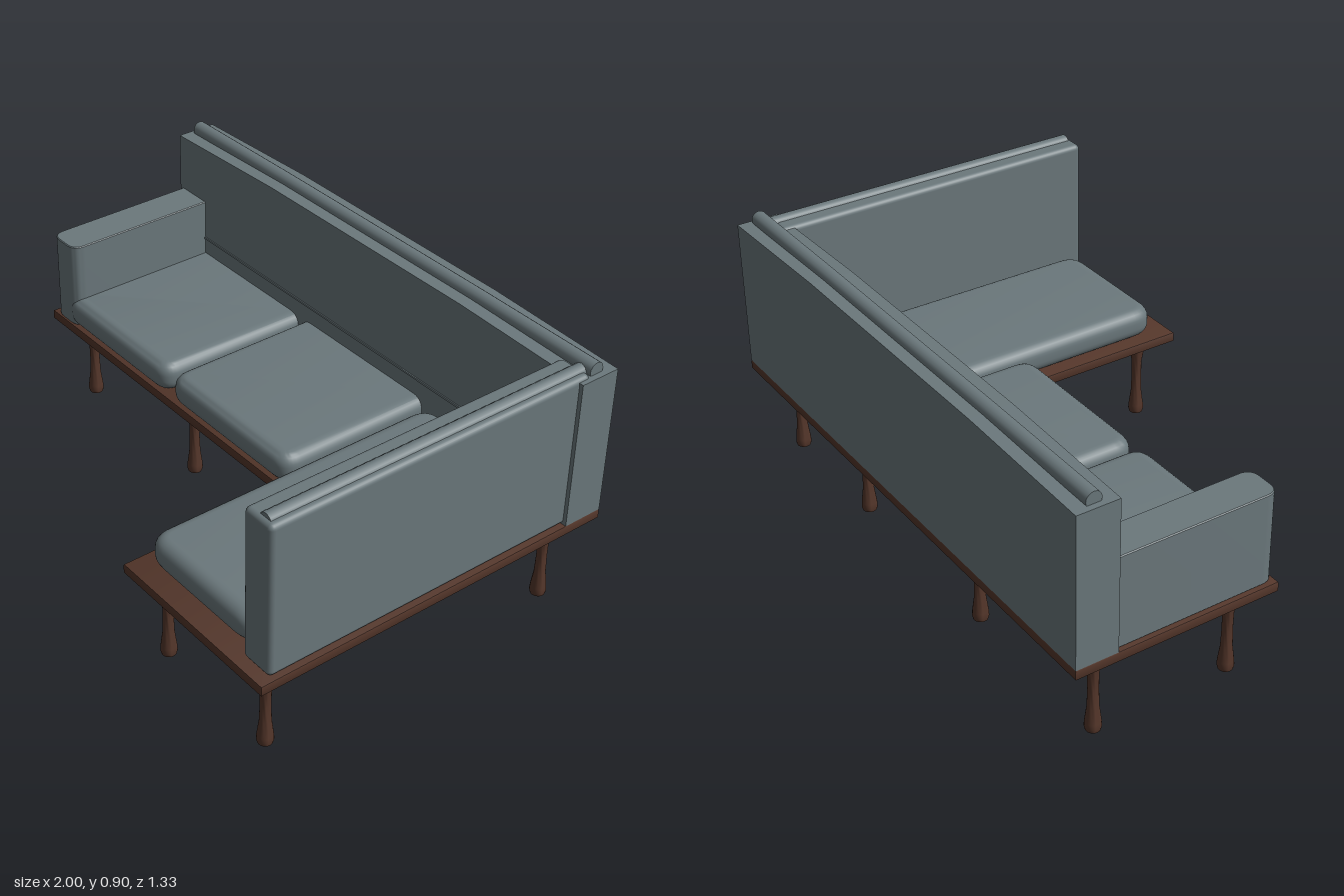
import * as THREE from 'three';
import { toCreasedNormals } from 'three/addons/utils/BufferGeometryUtils.js';
import { RoundedBoxGeometry } from 'three/addons/geometries/RoundedBoxGeometry.js';

const fabric = new THREE.MeshStandardMaterial({ color: 0x6b787c });
const wood = new THREE.MeshStandardMaterial({ color: 0x54362a });

// Outline in plan, drawn as (x, -z) so that it stands upright once extruded
function planRect(x0, x1, z0, z1, rFront, rBack) {
  const s = new THREE.Shape();
  const f = -z1, b = -z0;
  s.moveTo(x0 + rFront, f);
  s.lineTo(x1 - rFront, f);
  s.quadraticCurveTo(x1, f, x1, f + rFront);
  s.lineTo(x1, b - rBack);
  if (rBack) s.quadraticCurveTo(x1, b, x1 - rBack, b);
  s.lineTo(x0 + rBack, b);
  if (rBack) s.quadraticCurveTo(x0, b, x0, b - rBack);
  s.lineTo(x0, f + rFront);
  s.quadraticCurveTo(x0, f, x0 + rFront, f);
  return s;
}

// Extrude a plan outline upward from y0 to y1 with rounded rims inside the outline
function slab(shape, y0, y1, bevel, segments = 4) {
  const g = new THREE.ExtrudeGeometry(shape, {
    depth: y1 - y0 - 2 * bevel, curveSegments: 8, bevelEnabled: bevel > 0,
    bevelThickness: bevel, bevelSize: bevel, bevelOffset: -bevel, bevelSegments: segments,
  });
  g.rotateX(-Math.PI / 2);
  g.translate(0, y0 + bevel, 0);
  return toCreasedNormals(g, 0.6);
}

export function createModel() {
  const model = new THREE.Group();
  model.name = 'cornerSofa';
  const add = (name, geometry, material, x = 0, y = 0, z = 0) => {
    const m = new THREE.Mesh(geometry, material);
    m.name = name;
    m.position.set(x, y, z);
    model.add(m);
    return m;
  };

  // L-shaped wooden platform
  const plan = new THREE.Shape([
    [-1, -0.05], [0.33, -0.05], [0.33, -0.66], [1, -0.66], [1, 0.665], [-1, 0.665],
  ].map(([x, y]) => new THREE.Vector2(x, y)));
  add('platform', slab(plan, 0.303, 0.338, 0.004, 2), wood);

  // Turned legs
  const profile = [
    [0, 0], [0.024, 0], [0.027, 0.012], [0.026, 0.03], [0.019, 0.085],
    [0.017, 0.15], [0.018, 0.21], [0.025, 0.255], [0.03, 0.306],
  ].map(([r, y]) => new THREE.Vector2(r, y));
  const leg = toCreasedNormals(new THREE.LatheGeometry(profile, 20), 0.7);
  const legSpots = [
    [-0.905, -0.54], [-0.29, -0.54], [0.42, -0.54], [0.9, -0.54],
    [-0.905, -0.055], [-0.29, -0.055], [0.42, 0.565], [0.9, 0.565],
  ];
  for (const [x, z] of legSpots) add('leg', leg, wood, x, 0, z);

  // Long backrest, its top edge slightly raised along the middle
  const back = new THREE.Shape([
    [-1, 0.338], [1, 0.338], [1, 0.86], [0.47, 0.877], [-0.47, 0.877], [-1, 0.86],
  ].map(([x, y]) => new THREE.Vector2(x, y)));
  add('backrest', new THREE.ExtrudeGeometry(back, { depth: 0.145, bevelEnabled: false }),
    fabric, 0, 0, -0.665);
  add('backSeam', new THREE.BoxGeometry(1.72, 0.008, 0.006), fabric, 0, 0.508, -0.519);

  // Rolled trim that follows the top of the backrest
  const rollPath = new THREE.CurvePath();
  const rollPoints = [[-0.98, 0.873], [-0.47, 0.877], [0.47, 0.877], [0.98, 0.873]]
    .map(([x, y]) => new THREE.Vector3(x, y, -0.594));
  for (let i = 0; i < 3; i++) rollPath.add(new THREE.LineCurve3(rollPoints[i], rollPoints[i + 1]));
  add('backRoll', new THREE.TubeGeometry(rollPath, 40, 0.027, 16), fabric);
  for (const s of [-1, 1]) {
    const cap = add('backRollEnd', new THREE.CircleGeometry(0.027, 16), fabric, s * 0.98, 0.873, -0.594);
    cap.rotation.y = s * Math.PI / 2;
  }

  // High side rest on the left, with its own roll
  add('sideRest', new RoundedBoxGeometry(0.122, 0.534, 1.19, 3, 0.018), fabric, 0.925, 0.605, 0.027);
  const sideRoll = add('sideRoll', new THREE.CylinderGeometry(0.026, 0.026, 1.18, 16),
    fabric, 0.94, 0.86, 0.015);
  sideRoll.rotation.x = Math.PI / 2;

  // Low armrest on the right
  add('armrest', slab(planRect(-0.985, -0.85, -0.53, 0.045, 0.045, 0), 0.338, 0.655, 0.003, 1), fabric);

  // Seat cushions: two on the long side and one on the chaise
  const cushions = [
    [-0.915, -0.308, -0.57, 0.052, 0.07, 0],
    [-0.287, 0.335, -0.57, 0.052, 0.07, 0],
    [0.36, 0.865, -0.517, 0.598, 0.08, 0.08],
  ];
  for (const c of cushions) add('seatCushion', slab(planRect(...c), 0.338, 0.445, 0.042, 6), fabric);

  return model;
}
